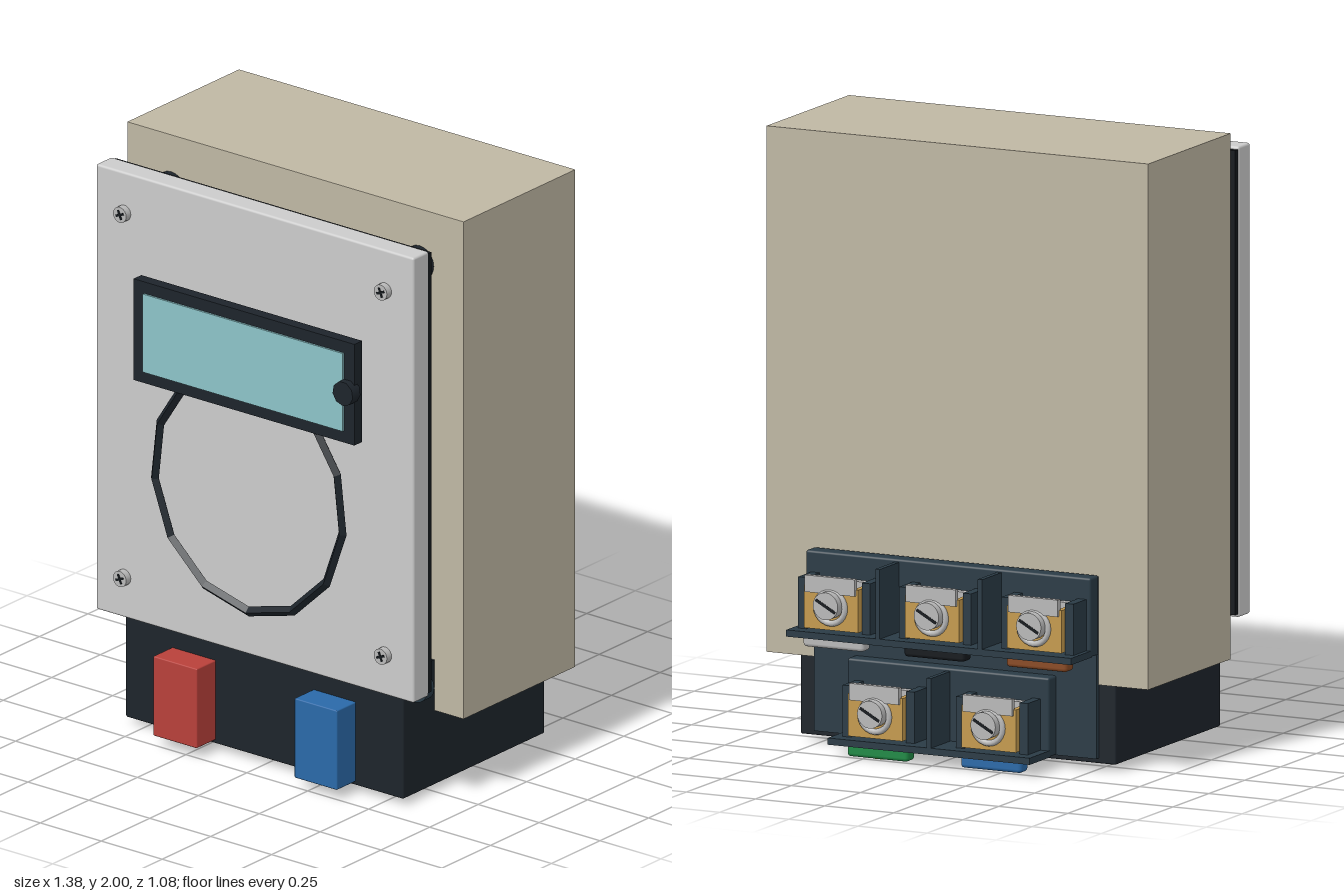
import * as THREE from 'three';
import { RoundedBoxGeometry } from 'three/addons/geometries/RoundedBoxGeometry.js';

const mat = (color, double) => new THREE.MeshStandardMaterial({ color, side: double ? THREE.DoubleSide : THREE.FrontSide });
const M = {
  beige: mat(0xbfb7a3), grey: mat(0xcccccc), black: mat(0x1d242b), ink: mat(0x14181c),
  navy: mat(0x2a3b46), brass: mat(0xc49a4e), steel: mat(0xb9b9b9), glass: mat(0x8cc3c8),
  red: mat(0xb8403a), blue: mat(0x2a69a8), green: mat(0x1f8a45), yellow: mat(0xd8c030), brown: mat(0x8a4a24),
};

function add(parent, name, geo, material, x = 0, y = 0, z = 0) {
  const m = new THREE.Mesh(geo, material);
  m.name = name;
  m.position.set(x, y, z);
  parent.add(m);
  return m;
}

// Box given by its extents; r rounds its edges
function box(parent, name, material, [x0, x1], [y0, y1], [z0, z1], r = 0) {
  const s = [x1 - x0, y1 - y0, z1 - z0];
  const geo = r ? new RoundedBoxGeometry(...s, 2, r) : new THREE.BoxGeometry(...s);
  return add(parent, name, geo, material, (x0 + x1) / 2, (y0 + y1) / 2, (z0 + z1) / 2);
}

// Cylinder along z between two depths
function rod(parent, name, material, x, y, r, z0, z1, sides = 20) {
  const geo = new THREE.CylinderGeometry(r, r, z1 - z0, sides).rotateX(Math.PI / 2);
  return add(parent, name, geo, material, x, y, (z0 + z1) / 2);
}

function group(parent, name, x = 0, y = 0, z = 0) {
  const g = new THREE.Group();
  g.name = name;
  g.position.set(x, y, z);
  parent.add(g);
  return g;
}

// One screw clamp, facing -z, origin on the block face at shelf height
function terminal(parent, x, y) {
  const t = group(parent, 'terminal', x, y, -0.39);
  for (const s of [-1, 1]) {
    box(t, 'housingWall', M.navy, s > 0 ? [0.1, 0.13] : [-0.13, -0.1], [0.02, 0.19], [-0.09, 0.03]);
    box(t, 'brassCheek', M.brass, s > 0 ? [0.08, 0.098] : [-0.098, -0.08], [0.03, 0.17], [-0.105, 0]);
  }
  box(t, 'housingBack', M.navy, [-0.13, 0.13], [0.02, 0.19], [0, 0.03]);
  box(t, 'brassFace', M.brass, [-0.098, 0.098], [0.03, 0.17], [-0.112, -0.1]);
  box(t, 'clampPlate', M.steel, [-0.08, 0.08], [0.03, 0.18], [-0.03, -0.005]);
  box(t, 'topPlate', M.steel, [-0.09, 0.09], [0.15, 0.205], [-0.122, -0.104]);
  rod(t, 'threadCore', M.steel, 0, 0.105, 0.017, -0.11, -0.03, 12);
  for (let i = 0; i < 5; i++)
    add(t, 'thread', new THREE.TorusGeometry(0.017, 0.005, 6, 14), M.steel, 0, 0.105, -0.04 - i * 0.014);
  add(t, 'washer', new THREE.TorusGeometry(0.052, 0.01, 8, 24), M.steel, 0, 0.105, -0.116);
  rod(t, 'screwHead', M.steel, 0, 0.115, 0.045, -0.152, -0.112, 24);
  box(t, 'screwSlot', M.ink, [-0.04, 0.04], [0.11, 0.12], [-0.153, -0.15]).rotation.z = 0.5;
}

// Row of terminals with shelf and partitions
function terminalRow(parent, name, half, y0, centres, walls) {
  const g = group(parent, name);
  box(g, 'blockBody', M.navy, [-half, half], [y0, y0 + 0.26], [-0.39, -0.33], 0.008);
  box(g, 'shelf', M.navy, [-half, half], [y0, y0 + 0.022], [-0.525, -0.38]);
  for (const x of walls)
    box(g, 'partition', M.navy, [x - 0.008, x + 0.008], [y0, y0 + 0.25], [-0.525, -0.38]);
  for (const x of centres) terminal(g, x, y0);
}

export function createModel() {
  const root = new THREE.Group();
  root.name = 'controlBox';

  // Main case and dark base
  box(root, 'case', M.beige, [-0.69, 0.69], [0.28, 2], [-0.325, 0.25]);
  box(root, 'base', M.black, [-0.57, 0.57], [0.022, 0.39], [-0.32, 0.41], 0.006);
  box(root, 'baseLip', M.black, [-0.57, 0.57], [0.38, 0.455], [0.24, 0.362]);

  // Front panel with its gasket
  box(root, 'frontPanel', M.grey, [-0.652, 0.652], [0.39, 1.93], [0.38, 0.46], 0.008);
  box(root, 'gasket', M.ink, [-0.648, 0.648], [0.4, 1.92], [0.362, 0.38]);

  // Corner screws, nuts and mounts
  for (const s of [-1, 1]) {
    for (const y of [0.53, 1.79]) {
      const g = group(root, 'panelScrew', s * 0.535, y);
      rod(g, 'screwHead', M.steel, 0, 0, 0.027, 0.46, 0.484);
      for (const a of [0.4, 0.4 + Math.PI / 2])
        box(g, 'recess', M.ink, [-0.017, 0.017], [-0.004, 0.004], [0.483, 0.4855]).rotation.z = a;
    }
    rod(root, 'nut', M.steel, s * 0.585, 1.85, 0.05, 0.338, 0.362, 6);
    rod(root, 'lowerNut', M.navy, s * 0.58, 0.395, 0.05, 0.325, 0.362, 16);
    rod(root, 'cornerPost', M.black, s * 0.51, 1.815, 0.058, 0.25, 0.362);
    rod(root, 'caseScrew', M.steel, s * 0.53, 1.71, 0.03, 0.265, 0.29);
    rod(root, 'caseScrewShank', M.steel, s * 0.53, 1.71, 0.014, 0.25, 0.27);
  }
  for (const y of [1.565, 1.31]) rod(root, 'middlePost', M.black, 0.2, y, 0.058, 0.25, 0.362);

  // Connector behind the panel
  box(root, 'connector', M.beige, [-0.4, -0.26], [1.64, 1.7], [0.27, 0.31]);
  box(root, 'pinStrip', M.ink, [-0.34, -0.04], [1.6, 1.64], [0.25, 0.275]);
  for (let i = 0; i < 6; i++) rod(root, 'pin', M.steel, -0.31 + i * 0.048, 1.62, 0.008, 0.27, 0.283, 8);

  // Slanted bowl behind the panel, deeper towards the bottom
  const bowl = new THREE.CylinderGeometry(0.44, 0.38, 0.1, 20).rotateX(Math.PI / 2);
  const p = bowl.attributes.position;
  for (let i = 0; i < p.count; i++) {
    const y = p.getY(i) * 1.07 + 1.02;
    const z = p.getZ(i) > 0 ? 0.362 : 0.342 - 0.075 * (1.5 - y) / 0.93;
    p.setXYZ(i, p.getX(i), y, z);
  }
  const flatBowl = bowl.toNonIndexed();
  flatBowl.computeVertexNormals();
  add(root, 'bowl', flatBowl, M.steel);

  // Display: bezel with opening, screen and knob
  const display = group(root, 'display', 0, 1.425, 0);
  const rect = (C, w, h) => new C([[-w, -h], [w, -h], [w, h], [-w, h]].map(q => new THREE.Vector2(...q)));
  const bezel = rect(THREE.Shape, 0.453, 0.175);
  bezel.holes.push(rect(THREE.Path, 0.41, 0.135));
  add(display, 'bezel', new THREE.ExtrudeGeometry(bezel, { depth: 0.04, bevelEnabled: false }), M.black, 0, 0, 0.475);
  box(display, 'screen', M.glass, [-0.41, 0.41], [-0.135, 0.135], [0.48, 0.522]);
  box(display, 'spacer', M.black, [-0.4, 0.4], [-0.13, 0.13], [0.46, 0.48]);
  rod(display, 'knob', M.black, 0.425, 0.005, 0.042, 0.5, 0.54, 9);

  // Faceted ring below the display
  const ring = add(root, 'ring', new THREE.TorusGeometry(0.388, 0.016, 4, 13), M.black, 0, 0.97, 0.49);
  ring.material = new THREE.MeshStandardMaterial({ color: 0x1d242b, flatShading: true });
  ring.rotation.z = -Math.PI / 2;
  ring.scale.set(1.07, 1, 1.1);

  // Coloured clips on the base
  box(root, 'redClip', M.red, [-0.38, -0.2], [0.035, 0.31], [0.4, 0.507], 0.004);
  box(root, 'blueClip', M.blue, [0.2, 0.375], [0.035, 0.31], [0.4, 0.507], 0.004);

  // Rear terminals
  box(root, 'rearPlate', M.navy, [-0.51, 0.51], [0.04, 0.635], [-0.34, -0.315]);
  terminalRow(root, 'upperTerminals', 0.515, 0.38, [-0.37, 0, 0.365], [-0.185, 0.185]);
  terminalRow(root, 'lowerTerminals', 0.365, 0.04, [-0.205, 0.205], [0]);

  // Wire colour tags under the shelves
  const tag = (name, m, x, y) => box(root, name, m, [x - 0.11, x + 0.11], [y, y + 0.045], [-0.49, -0.435], 0.012);
  tag('greyTag', M.steel, 0.365, 0.345);
  tag('blackTag', M.ink, 0, 0.345);
  tag('brownTag', M.brown, -0.37, 0.345);
  tag('greenTag', M.green, 0.205, 0);
  tag('blueTag', M.blue, -0.205, 0);
  box(root, 'yellowStripe', M.yellow, [0.185, 0.225], [-0.0005, 0.03], [-0.48, -0.445]);

  return root;
}
